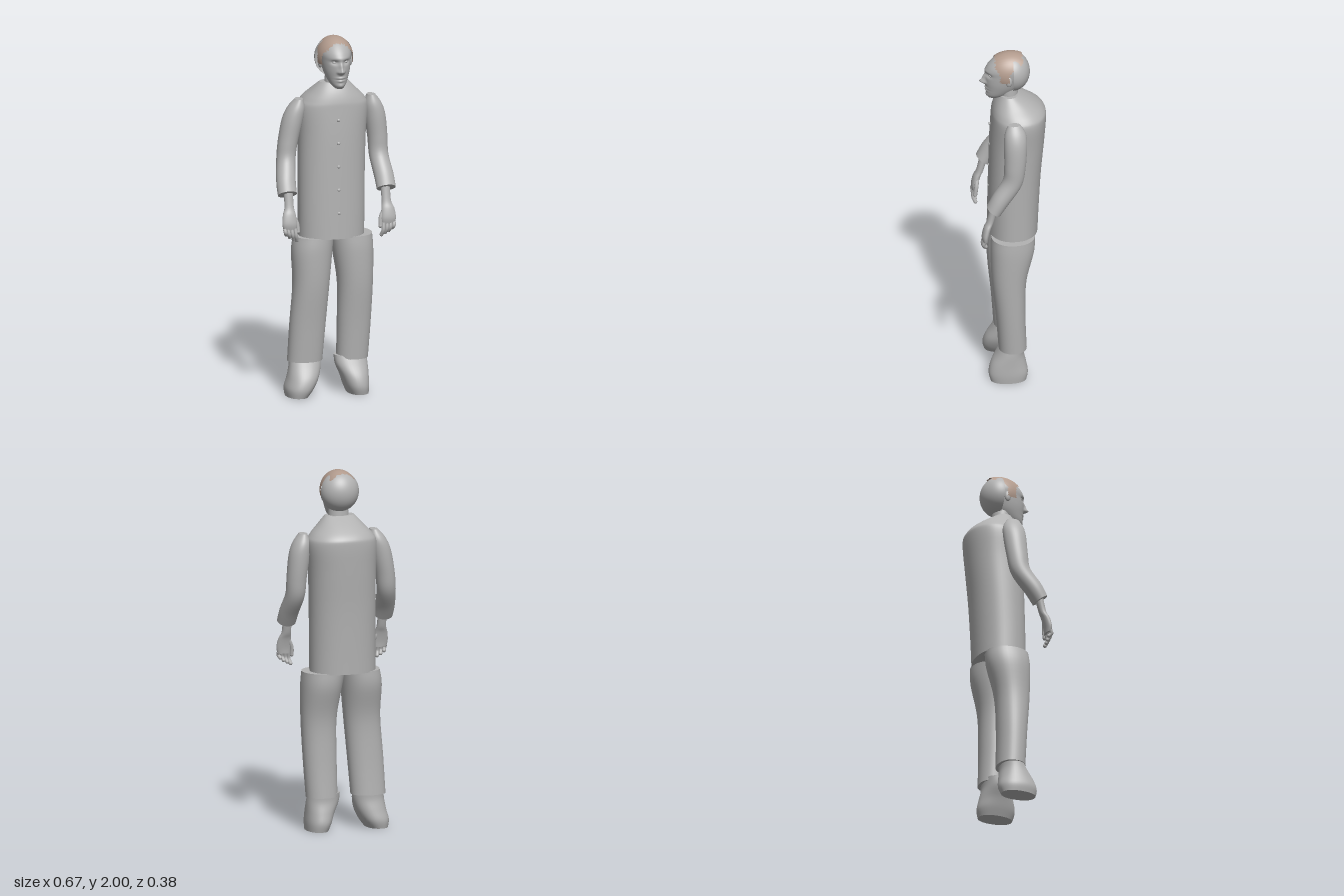
import * as THREE from 'three';

const grey = new THREE.MeshStandardMaterial({ color: 0xb2b2b2 });
grey.name = 'plain grey';
const brown = new THREE.MeshStandardMaterial({ color: 0xb39c8e, side: THREE.DoubleSide });
brown.name = 'hair brown';
const greyOpen = new THREE.MeshStandardMaterial({ color: 0xb2b2b2, side: THREE.DoubleSide });
greyOpen.name = 'open shell grey';

function add(parent, name, geo, mat = grey) {
  const m = new THREE.Mesh(geo, mat);
  m.name = name;
  parent.add(m);
  return m;
}

function catmull(a, b, c, d, t) {
  const v0 = (c - a) / 2, v1 = (d - b) / 2;
  return (2 * b - 2 * c + v0 + v1) * t ** 3 + (3 * c - 3 * b - 2 * v0 - v1) * t * t + v0 * t + b;
}

// Smooth loft through rows, bottom to top: [x, y, z, half width, front depth, back depth, tilt]
function loft(rows, { steps = 5, seg = 40, power = 1, shape = null } = {}) {
  const rings = [];
  const at = i => rows[Math.max(0, Math.min(rows.length - 1, i))];
  for (let i = 0; i < rows.length - 1; i++) {
    for (let s = 0; s < steps; s++) {
      rings.push(rows[i].map((_, k) => catmull(at(i - 1)[k], at(i)[k], at(i + 1)[k], at(i + 2)[k], s / steps)));
    }
  }
  rings.push(rows[rows.length - 1]);
  const pos = [], index = [];
  const soft = v => Math.sign(v) * Math.abs(v) ** power;
  for (const [x, y, z, rx, rf, rb, tilt = 0] of rings) {
    for (let j = 0; j < seg; j++) {
      const a = j / seg * Math.PI * 2;
      const d = soft(Math.sin(a)) * (Math.sin(a) > 0 ? rf : rb);
      const p = new THREE.Vector3(x + rx * soft(Math.cos(a)), y + d * Math.sin(tilt), z + d * Math.cos(tilt));
      if (shape) shape(p, a);
      pos.push(p.x, p.y, p.z);
    }
  }
  for (let i = 0; i < rings.length - 1; i++) {
    for (let j = 0; j < seg; j++) {
      const a = i * seg + j, b = i * seg + (j + 1) % seg;
      index.push(a, a + seg, b, b, a + seg, b + seg);
    }
  }
  // flat end caps with their own vertices
  for (const top of [false, true]) {
    const start = top ? (rings.length - 1) * seg : 0;
    const base = pos.length / 3;
    const r = top ? rings[rings.length - 1] : rings[0];
    pos.push(r[0], r[1], r[2]);
    for (let j = 0; j < seg; j++) pos.push(...pos.slice((start + j) * 3, (start + j) * 3 + 3));
    for (let j = 0; j < seg; j++) {
      const a = base + 1 + j, b = base + 1 + (j + 1) % seg;
      index.push(base, top ? b : a, top ? a : b);
    }
  }
  const g = new THREE.BufferGeometry();
  g.setAttribute('position', new THREE.Float32BufferAttribute(pos, 3));
  g.setIndex(index);
  g.computeVertexNormals();
  return g;
}

function ball(parent, name, x, y, z, rx, ry, rz) {
  const m = add(parent, name, new THREE.SphereGeometry(1, 20, 14));
  m.position.set(x, y, z);
  m.scale.set(rx, ry, rz);
}

function finger(parent, name, pts, r) {
  const v = pts.map(p => new THREE.Vector3(...p));
  add(parent, name, new THREE.TubeGeometry(new THREE.CatmullRomCurve3(v), 10, r, 10));
  ball(parent, name + 'Tip', ...pts[pts.length - 1], r, r, r);
}

// Face relief: nose, eye sockets, brow, lips and chin
function face(p, a) {
  if (Math.sin(a) < 0.2) return;
  const x = p.x - 0.02, y = p.y;
  const bump = (cx, cy, sx, sy, h) => h * Math.exp(-(((x - cx) / sx) ** 2) - ((y - cy) / sy) ** 2);
  p.z += bump(0, 1.828, 0.014, 0.014, 0.028) + bump(0, 1.852, 0.01, 0.024, 0.015)
    + bump(0, 1.898, 0.055, 0.012, 0.005) + bump(0, 1.79, 0.024, 0.006, 0.008)
    + bump(0, 1.775, 0.02, 0.006, 0.008) - bump(0, 1.782, 0.026, 0.004, 0.005)
    + bump(0, 1.745, 0.02, 0.012, 0.006);
  for (const s of [-1, 1]) {
    p.z += bump(s * 0.033, 1.878, 0.018, 0.011, -0.014) + bump(s * 0.015, 1.825, 0.007, 0.007, 0.01);
  }
}

// Ragged sheet of hair arching over the skull from ear to ear
function hairSheet() {
  let seed = 7;
  const rnd = () => (seed = (seed * 16807) % 2147483647) / 2147483647;
  const n = 80, m = 12, pos = [], index = [];
  for (let i = 0; i <= n; i++) {
    const t = (i / n * 2 - 1) * 1.85;
    const side = THREE.MathUtils.smoothstep(Math.abs(t), 0.8, 1.4);
    const front = 0.094 - 0.022 * side - rnd() * 0.014;
    const back = -0.07 + 0.075 * side + rnd() * 0.012;
    for (let j = 0; j <= m; j++) {
      const z = back + (front - back) * j / m;
      const k = Math.sqrt(1 - (z / 0.138) ** 2);
      pos.push(0.02 + 0.1 * k * Math.sin(t), 1.885 + 0.115 * k * Math.cos(t), z);
      if (i < n && j < m) {
        const a = i * (m + 1) + j, b = a + m + 1;
        index.push(a, a + 1, b, b, a + 1, b + 1);
      }
    }
  }
  const g = new THREE.BufferGeometry();
  g.setAttribute('position', new THREE.Float32BufferAttribute(pos, 3));
  g.setIndex(index);
  g.computeVertexNormals();
  return g;
}

export function createModel() {
  const model = new THREE.Group();
  model.name = 'standingFigure';

  // Long jacket with sloping shoulders
  add(model, 'jacket', loft([
    [0.003, 0.885, -0.01, 0.183, 0.135, 0.14], [0.005, 1.05, -0.01, 0.184, 0.132, 0.147],
    [0.008, 1.25, -0.02, 0.185, 0.138, 0.148], [0.014, 1.45, -0.03, 0.187, 0.143, 0.155],
    [0.019, 1.6, -0.035, 0.194, 0.14, 0.16], [0.02, 1.65, -0.035, 0.175, 0.135, 0.15],
    [0.018, 1.7, -0.015, 0.128, 0.1, 0.112], [0.016, 1.75, 0.005, 0.082, 0.055, 0.05],
  ], { power: 0.9, seg: 56 }));
  for (let i = 0; i < 5; i++) ball(model, 'jacketButton', 0.012, 1.55 - i * 0.13, 0.112 + i * 0.002, 0.009, 0.009, 0.006);

  // Trousers
  const legs = {
    rightTrouserLeg: [
      [-0.148, 0.19, -0.003, 0.097, 0.077, 0.077], [-0.135, 0.4, 0.008, 0.1, 0.082, 0.08],
      [-0.118, 0.62, 0.015, 0.101, 0.097, 0.092], [-0.11, 0.8, 0.005, 0.111, 0.113, 0.125],
      [-0.097, 0.89, -0.005, 0.108, 0.118, 0.12]],
    leftTrouserLeg: [
      [0.121, 0.19, -0.003, 0.087, 0.077, 0.077], [0.128, 0.4, 0.008, 0.093, 0.082, 0.08],
      [0.132, 0.62, 0.015, 0.098, 0.097, 0.092], [0.122, 0.8, 0.005, 0.112, 0.113, 0.125],
      [0.112, 0.89, -0.005, 0.118, 0.118, 0.12]],
  };
  for (const name in legs) add(model, name, loft(legs[name], { power: 0.92 }));

  // Soft shoes
  const shoes = {
    rightShoe: [
      [-0.202, 0, 0.02, 0.06, 0.1, 0.095], [-0.188, 0.045, 0.02, 0.079, 0.11, 0.105],
      [-0.167, 0.1, 0.02, 0.086, 0.098, 0.096], [-0.153, 0.16, 0.012, 0.088, 0.073, 0.076],
      [-0.149, 0.21, 0, 0.086, 0.06, 0.065]],
    leftShoe: [
      [0.143, 0, 0.02, 0.058, 0.1, 0.095], [0.135, 0.045, 0.02, 0.069, 0.11, 0.105],
      [0.125, 0.1, 0.02, 0.078, 0.098, 0.096], [0.112, 0.16, 0.012, 0.09, 0.073, 0.076],
      [0.108, 0.21, 0, 0.09, 0.06, 0.065]],
  };
  for (const name in shoes) add(model, name, loft(shoes[name], { power: 0.9 }));

  // Bent sleeves and hands
  const sleeve = [
    [0.281, 1.155, 0.118, 0.053, 0.045, 0.045, 0.6], [0.278, 1.22, 0.08, 0.054, 0.05, 0.05, 0.6],
    [0.264, 1.32, 0.015, 0.053, 0.054, 0.055, 0.35], [0.255, 1.42, 0, 0.055, 0.058, 0.06, 0.1],
    [0.235, 1.54, -0.005, 0.058, 0.063, 0.064, 0], [0.218, 1.61, -0.003, 0.048, 0.055, 0.06, 0],
    [0.205, 1.66, 0, 0.022, 0.033, 0.035, 0],
  ];
  for (const s of [1, -1]) {
    const side = s > 0 ? 'left' : 'right';
    const rows = sleeve.map(([x, y, ...rest]) => [s * x + 0.02 * Math.max(0, (y - 1.25) / 0.35), y, ...rest]);
    add(model, side + 'Sleeve', loft(rows));
    const hand = new THREE.Group();
    hand.name = side + 'Hand';
    hand.scale.x = s;
    add(hand, 'palm', loft([
      [0.279, 0.965, 0.165, 0.036, 0.014, 0.016], [0.281, 1.0, 0.164, 0.042, 0.019, 0.02],
      [0.28, 1.05, 0.152, 0.036, 0.02, 0.021], [0.276, 1.09, 0.135, 0.026, 0.02, 0.021],
      [0.276, 1.17, 0.115, 0.026, 0.022, 0.022]], { seg: 24 }));
    for (let i = 0; i < 4; i++) {
      const x = 0.311 - i * 0.02, drop = [0.025, 0.04, 0.05, 0.06][i];
      finger(hand, 'finger', [[x, 0.975, 0.168], [x - 0.003, 0.97 - drop * 0.6, 0.175],
        [x - 0.01, 0.966 - drop, 0.163]], 0.0105);
    }
    finger(hand, 'thumb', [[0.262, 1.05, 0.15], [0.238, 1.0, 0.158], [0.234, 0.955, 0.165]], 0.0115);
    model.add(hand);
  }

  // Neck and head
  add(model, 'neck', loft([[0.018, 1.7, 0.005, 0.06, 0.05, 0.05], [0.02, 1.82, 0.015, 0.052, 0.05, 0.055]]));
  add(model, 'head', loft([
    [0.02, 1.728, 0.09, 0.022, 0.03, 0.04], [0.02, 1.75, 0.07, 0.043, 0.06, 0.065],
    [0.02, 1.79, 0.045, 0.062, 0.088, 0.09], [0.02, 1.83, 0.03, 0.074, 0.107, 0.1],
    [0.02, 1.88, 0.01, 0.083, 0.127, 0.1], [0.02, 1.92, 0.01, 0.084, 0.119, 0.1],
    [0.02, 1.96, 0.01, 0.067, 0.085, 0.08], [0.02, 1.985, 0.01, 0.038, 0.048, 0.05],
    [0.02, 1.995, 0.01, 0.006, 0.006, 0.006],
  ], { steps: 9, seg: 96, shape: face }));
  for (const s of [-1, 1]) {
    ball(model, 'eye', 0.02 + s * 0.032, 1.877, 0.108, 0.013, 0.008, 0.013);
    ball(model, 'ear', 0.02 + s * 0.085, 1.86, 0.015, 0.012, 0.03, 0.018);
  }

  // Half dome behind the head, cut flat at the ears, and the hair over the crown
  const dome = add(model, 'backOfHead', new THREE.SphereGeometry(1, 32, 32, Math.PI, Math.PI), greyOpen);
  dome.scale.set(0.108, 0.112, 0.098);
  dome.position.set(0.02, 1.883, -0.01);
  add(model, 'hair', hairSheet(), brown);

  return model;
}
